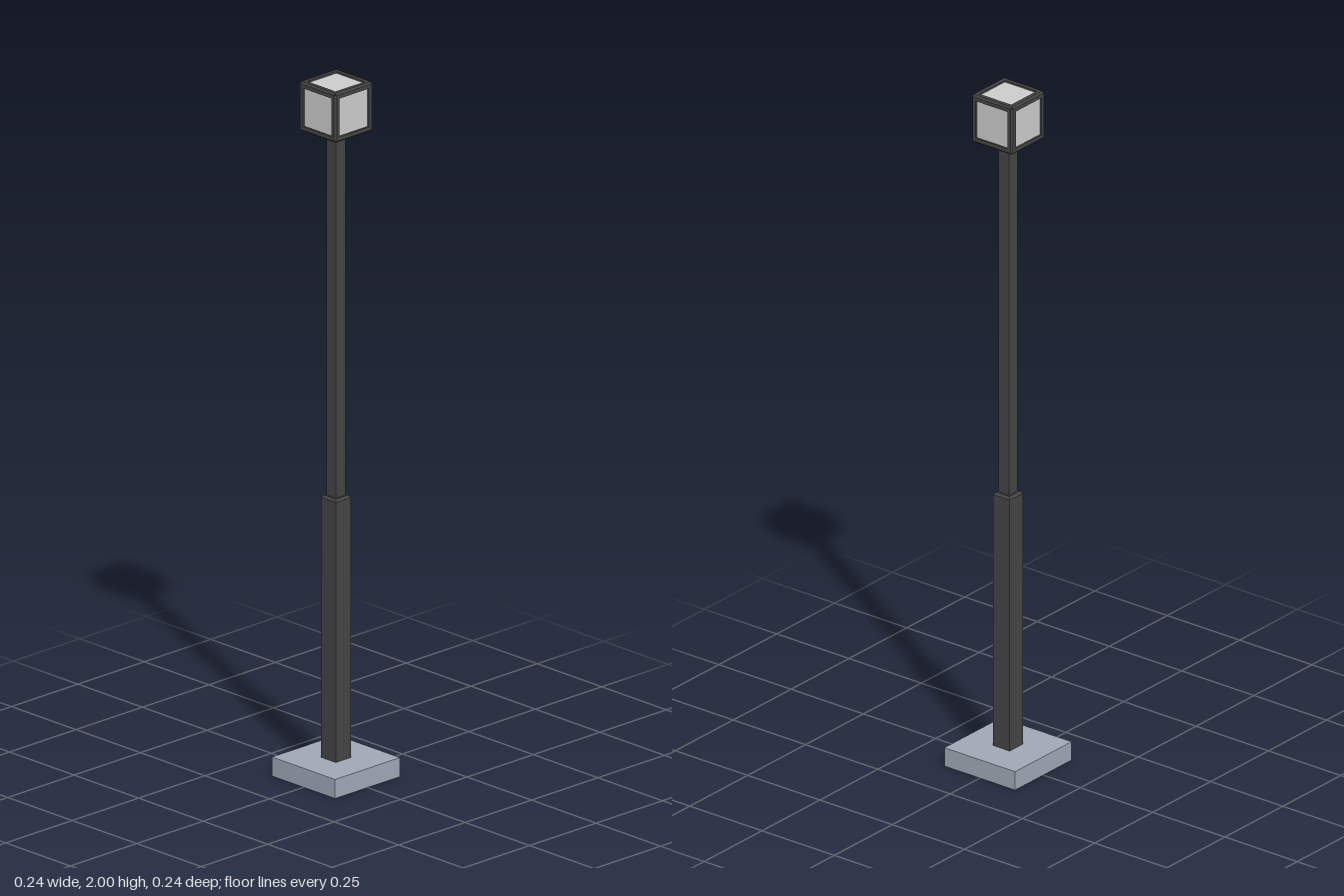
import * as THREE from 'three';

const mat = (color) => new THREE.MeshStandardMaterial({ color, flatShading: true });

export function createModel() {
  const model = new THREE.Group();
  const metal = mat(0x444444), stone = mat(0x9fa7b5), glass = mat(0xcccccc);

  const add = (name, geometry, material, y, parent = model) => {
    const mesh = new THREE.Mesh(geometry, material);
    mesh.name = name;
    mesh.position.y = y;
    parent.add(mesh);
    return mesh;
  };

  // Square prism or frustum with flat sides facing the axes
  const squarePrism = (halfTop, halfBottom, height) =>
    new THREE.CylinderGeometry(halfTop * Math.SQRT2, halfBottom * Math.SQRT2, height, 4)
      .rotateY(Math.PI / 4);

  // Foot and stepped post
  add('base', new THREE.BoxGeometry(0.244, 0.055, 0.244), stone, 0.0275);
  add('lowerPost', squarePrism(0.029, 0.029, 0.748), metal, 0.429);
  add('postCollar', squarePrism(0.023, 0.029, 0.007), metal, 0.8065);
  add('upperPost', squarePrism(0.018, 0.018, 1.06), metal, 1.34);

  // Cube lantern
  const lantern = new THREE.Group();
  lantern.name = 'lantern';
  lantern.position.y = 1.929;
  model.add(lantern);
  add('glass', new THREE.BoxGeometry(0.132, 0.132, 0.132), glass, 0, lantern);

  // Frame bar along z with its outer edge chamfered
  const inner = 0.055, outer = 0.071, cut = 0.005, reach = outer - cut;
  const section = new THREE.Shape([
    new THREE.Vector2(inner, inner),
    new THREE.Vector2(outer, inner),
    new THREE.Vector2(outer, reach),
    new THREE.Vector2(reach, outer),
    new THREE.Vector2(inner, outer),
  ]);
  const bar = new THREE.ExtrudeGeometry(section, { depth: 2 * reach, bevelEnabled: false });
  bar.translate(0, 0, -reach);

  // Four bars along each of the three axes
  for (const [x, y] of [[0, 0], [Math.PI / 2, 0], [0, Math.PI / 2]]) {
    const side = new THREE.Group();
    side.name = 'frameBars';
    side.rotation.set(x, y, 0);
    for (let i = 0; i < 4; i++) {
      add('frameBar', bar, metal, 0, side).rotation.z = i * Math.PI / 2;
    }
    lantern.add(side);
  }

  // Corner blocks closing the frame
  const size = reach - inner;
  const corner = new THREE.BoxGeometry(size, size, size);
  for (const x of [-1, 1]) for (const y of [-1, 1]) for (const z of [-1, 1]) {
    const c = (reach + inner) / 2;
    add('frameCorner', corner, metal, 0, lantern).position.set(x * c, y * c, z * c);
  }
  return model;
}
